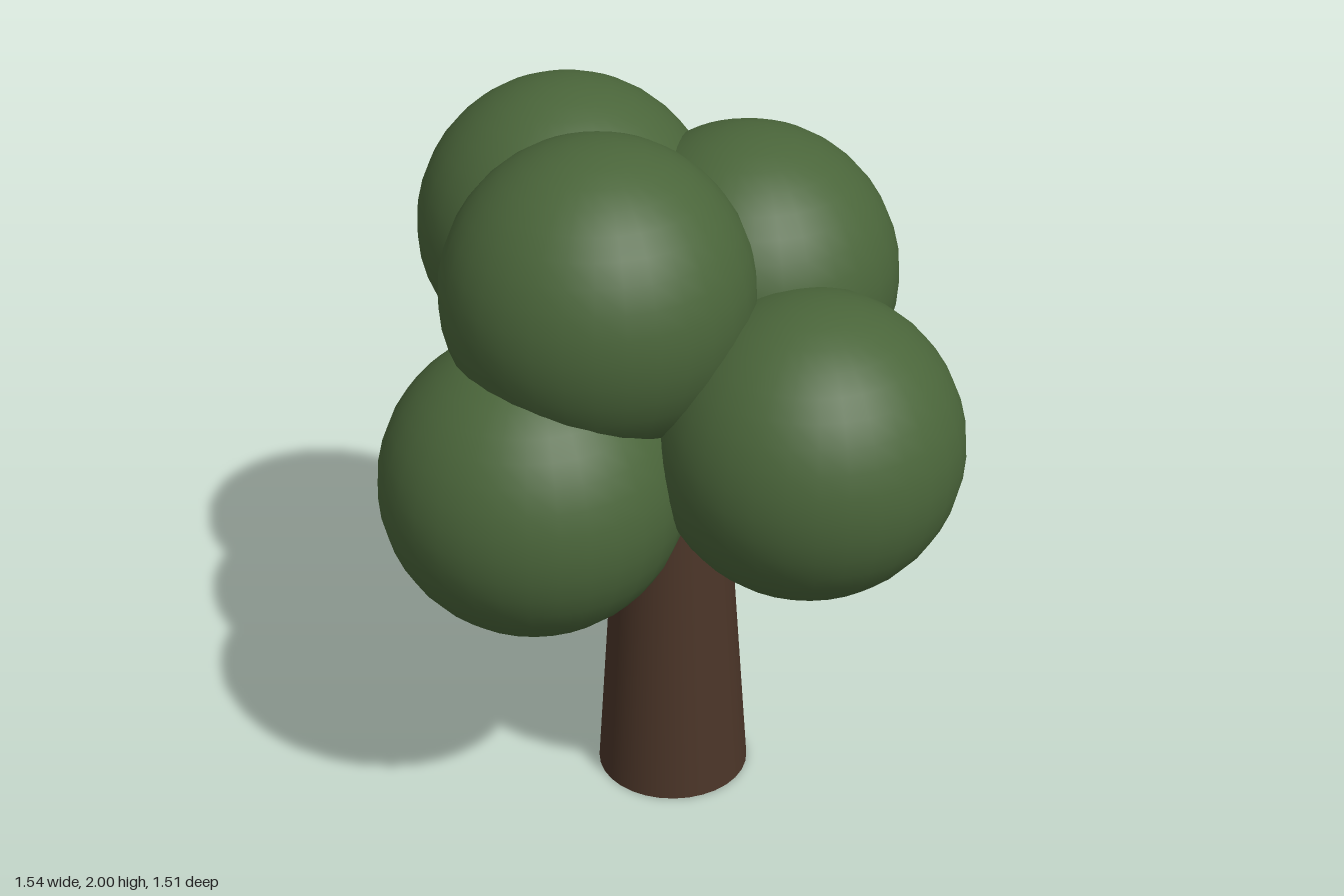
import * as THREE from 'three';

export function createModel() {
  const tree = new THREE.Group();
  tree.name = 'tree';
  const bark = new THREE.MeshStandardMaterial({ color: 0x4b3528 });
  const leaves = new THREE.MeshStandardMaterial({ color: 0x4a653a });

  // Tapered trunk, its top hidden inside the foliage
  const height = 1.2;
  const trunk = new THREE.Mesh(new THREE.CylinderGeometry(0.135, 0.215, height, 32), bark);
  trunk.name = 'trunk';
  trunk.position.set(-0.04, height / 2, 0);
  tree.add(trunk);

  // Overlapping round leaf clumps: name and centre
  const clumps = [
    ['lowerFrontClump', -0.34, 1.1, 0.345],
    ['lowerLeftClump', 0.36, 1.217, 0.225],
    ['lowerBackClump', -0.205, 1.09, -0.35],
    ['upperFrontClump', -0.19, 1.593, 0.21],
    ['upperRightClump', -0.363, 1.583, -0.213],
    ['upperBackClump', 0.13, 1.483, -0.208],
  ];
  const ball = new THREE.SphereGeometry(0.407, 32, 20);
  const foliage = new THREE.Group();
  foliage.name = 'foliage';
  for (const [name, x, y, z] of clumps) {
    const clump = new THREE.Mesh(ball, leaves);
    clump.name = name;
    clump.position.set(x, y, z);
    foliage.add(clump);
  }
  tree.add(foliage);
  return tree;
}
